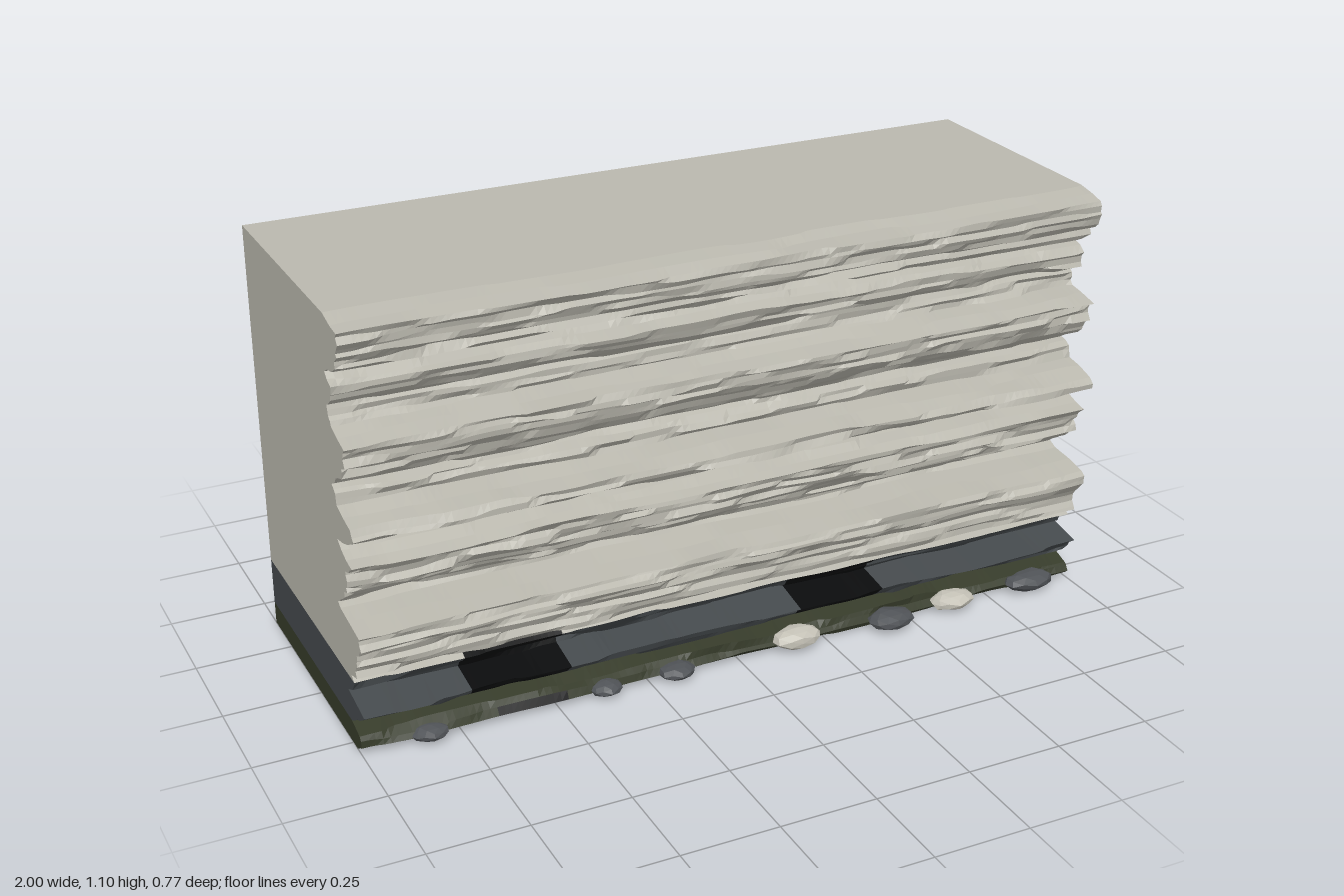
import * as THREE from 'three';

const BACK = -0.39, COLS = 110;
// [z, y] cross-section of the weathered face, bottom to top
const PROFILE = [
  [0.29, 0], [0.315, 0.02], [0.3, 0.045], [0.245, 0.06], [0.3, 0.085], [0.342, 0.122], [0.24, 0.137],
  [0.292, 0.185], [0.268, 0.195], [0.31, 0.21], [0.314, 0.256], [0.355, 0.306], [0.348, 0.335],
  [0.215, 0.352], [0.2, 0.36], [0.256, 0.4], [0.294, 0.44], [0.294, 0.475], [0.33, 0.504],
  [0.227, 0.536], [0.31, 0.56], [0.358, 0.582], [0.35, 0.608], [0.253, 0.629], [0.253, 0.655],
  [0.218, 0.673], [0.3, 0.722], [0.324, 0.76], [0.328, 0.806], [0.24, 0.824], [0.222, 0.868],
  [0.26, 0.89], [0.268, 0.926], [0.225, 0.95], [0.308, 0.987], [0.3, 1.0], [0.328, 1.02],
  [0.336, 1.08], [0.245, 1.098],
];
const MOSS_TOP = 0.06, WET_TOP = 0.185;

const mat = (name, color) => {
  const m = new THREE.MeshStandardMaterial({ color });
  m.name = name;
  return m;
};

// repeatable value in 0..1
const hash = (a, b) => {
  const s = Math.sin(a * 127.1 + b * 311.7) * 43758.5453;
  return s - Math.floor(s);
};
// noise along x for one stratum; sharp > 1 turns the waves into broken steps
const noise = (x, row, length, sharp) => {
  const u = x / length + hash(row, 9) * 10, i = Math.floor(u);
  let t = THREE.MathUtils.clamp((u - i - 0.5) * sharp + 0.5, 0, 1);
  t = t * t * (3 - 2 * t);
  return THREE.MathUtils.lerp(hash(i, row), hash(i + 1, row), t) * 2 - 1;
};

// split the profile into thin strata
function makeRows() {
  const rows = [];
  for (let k = 0; k < PROFILE.length - 1; k++) {
    const [z0, y0] = PROFILE[k], [z1, y1] = PROFILE[k + 1];
    const n = Math.max(1, Math.round((y1 - y0) / 0.011));
    for (let j = 0; j < n; j++) {
      const t = j / n;
      rows.push({ z: z0 + (z1 - z0) * t, y: y0 + (y1 - y0) * t });
    }
  }
  const [z, y] = PROFILE[PROFILE.length - 1];
  rows.push({ z, y });
  return rows;
}

function facePoint(rows, r, c) {
  const x = -1 + (2 * c) / COLS, { z, y } = rows[r];
  const fixed = r === 0 || r === rows.length - 1 || y === MOSS_TOP || y === WET_TOP;
  const gap = fixed ? 0 : Math.min(y - rows[r - 1].y, rows[r + 1].y - y);
  const dz = 0.009 * noise(x, r, 0.12 + 0.2 * hash(r, 3), 6)
    + 0.006 * noise(x, 400 + Math.floor(r / 4), 0.16, 1);
  return [x, y + gap * 0.4 * noise(x, 200 + r, 0.18, 3), z + dz];
}

// dark hollows at the waterline
const inHollow = (x, y) =>
  (x > -0.735 && x < -0.47 && y > MOSS_TOP && y < 0.215) ||
  (x > 0.165 && x < 0.4 && y > MOSS_TOP && y < WET_TOP) ||
  (x > -0.65 && x < -0.47 && y < 0.03);

function createCliff(mats) {
  const bins = { mossBase: [], wetBand: [], dryStone: [], hollows: [] };
  const quad = (bin, a, b, c, d) => bins[bin].push(...a, ...b, ...c, ...a, ...c, ...d);
  const bandAt = (y) => (y < MOSS_TOP ? 'mossBase' : y < WET_TOP ? 'wetBand' : 'dryStone');
  const rows = makeRows(), last = rows.length - 1;
  const grid = rows.map((_, r) => Array.from({ length: COLS + 1 }, (_, c) => facePoint(rows, r, c)));
  const toBack = (p) => [p[0], p[1], BACK];

  for (let r = 0; r < last; r++) {
    const lo = grid[r], hi = grid[r + 1];
    const y = (rows[r].y + rows[r + 1].y) / 2, band = bandAt(y);
    // weathered front
    for (let c = 0; c < COLS; c++) {
      const x = -1 + (2 * c + 1) / COLS;
      quad(inHollow(x, y) ? 'hollows' : band, lo[c], lo[c + 1], hi[c + 1], hi[c]);
    }
    // cut ends
    quad(band, lo[COLS], toBack(lo[COLS]), toBack(hi[COLS]), hi[COLS]);
    quad(band, toBack(lo[0]), lo[0], hi[0], toBack(hi[0]));
  }
  // top and underside
  for (let c = 0; c < COLS; c++) {
    const a = grid[last][c], b = grid[last][c + 1];
    quad('dryStone', a, b, toBack(b), toBack(a));
    const d = grid[0][c], e = grid[0][c + 1];
    quad('mossBase', toBack(d), toBack(e), e, d);
  }
  // flat back, one face per band
  const levels = [0, MOSS_TOP, WET_TOP, rows[last].y];
  for (let i = 0; i < 3; i++) {
    const [y0, y1] = [levels[i], levels[i + 1]];
    quad(bandAt((y0 + y1) / 2), [1, y0, BACK], [-1, y0, BACK], [-1, y1, BACK], [1, y1, BACK]);
  }

  const cliff = new THREE.Group();
  cliff.name = 'cliff';
  for (const [name, points] of Object.entries(bins)) {
    const geo = new THREE.BufferGeometry();
    geo.setAttribute('position', new THREE.Float32BufferAttribute(points, 3));
    geo.computeVertexNormals();
    const mesh = new THREE.Mesh(geo, mats[name]);
    mesh.name = name;
    cliff.add(mesh);
  }
  return cliff;
}

// rounded, slightly uneven boulder
function createBoulder(seed, rx, ry, rz, material) {
  const geo = new THREE.IcosahedronGeometry(1, 1);
  const p = geo.attributes.position, v = new THREE.Vector3();
  for (let i = 0; i < p.count; i++) {
    v.fromBufferAttribute(p, i);
    const k = 0.94 + 0.08 * Math.sin(v.x * 5 + seed) * Math.cos(v.y * 4 + v.z * 3 + seed * 2);
    p.setXYZ(i, v.x * k * rx, v.y * k * ry, v.z * k * rz);
  }
  geo.computeVertexNormals();
  const mesh = new THREE.Mesh(geo, material);
  mesh.name = 'boulder';
  return mesh;
}

export function createModel() {
  const mats = {
    mossBase: mat('dark moss', 0x363b2a),
    wetBand: mat('wet stone', 0x454a4d),
    dryStone: mat('pale stone', 0xbab8ae),
    hollows: mat('deep hollow', 0x0b0c0d),
  };
  const darkRock = mat('dark boulder', 0x505357);
  const paleRock = mat('pale boulder', 0xc4c1b6);

  const model = new THREE.Group();
  model.name = 'cliffSection';
  model.add(createCliff(mats));

  // boulders along the foot: x, y, z, rx, ry, rz, pale
  const boulders = [
    [-0.83, 0.021, 0.315, 0.05, 0.02, 0.04], [-0.37, 0.021, 0.315, 0.045, 0.02, 0.04],
    [-0.18, 0.021, 0.32, 0.052, 0.02, 0.042], [0.16, 0.031, 0.32, 0.072, 0.029, 0.045, true],
    [0.43, 0.028, 0.338, 0.065, 0.026, 0.05], [0.63, 0.027, 0.32, 0.066, 0.025, 0.045, true],
    [0.87, 0.028, 0.32, 0.078, 0.026, 0.045],
  ];
  boulders.forEach(([x, y, z, rx, ry, rz, pale], i) => {
    const rock = createBoulder(i * 1.7, rx, ry, rz, pale ? paleRock : darkRock);
    rock.position.set(x, y, z);
    model.add(rock);
  });
  return model;
}
